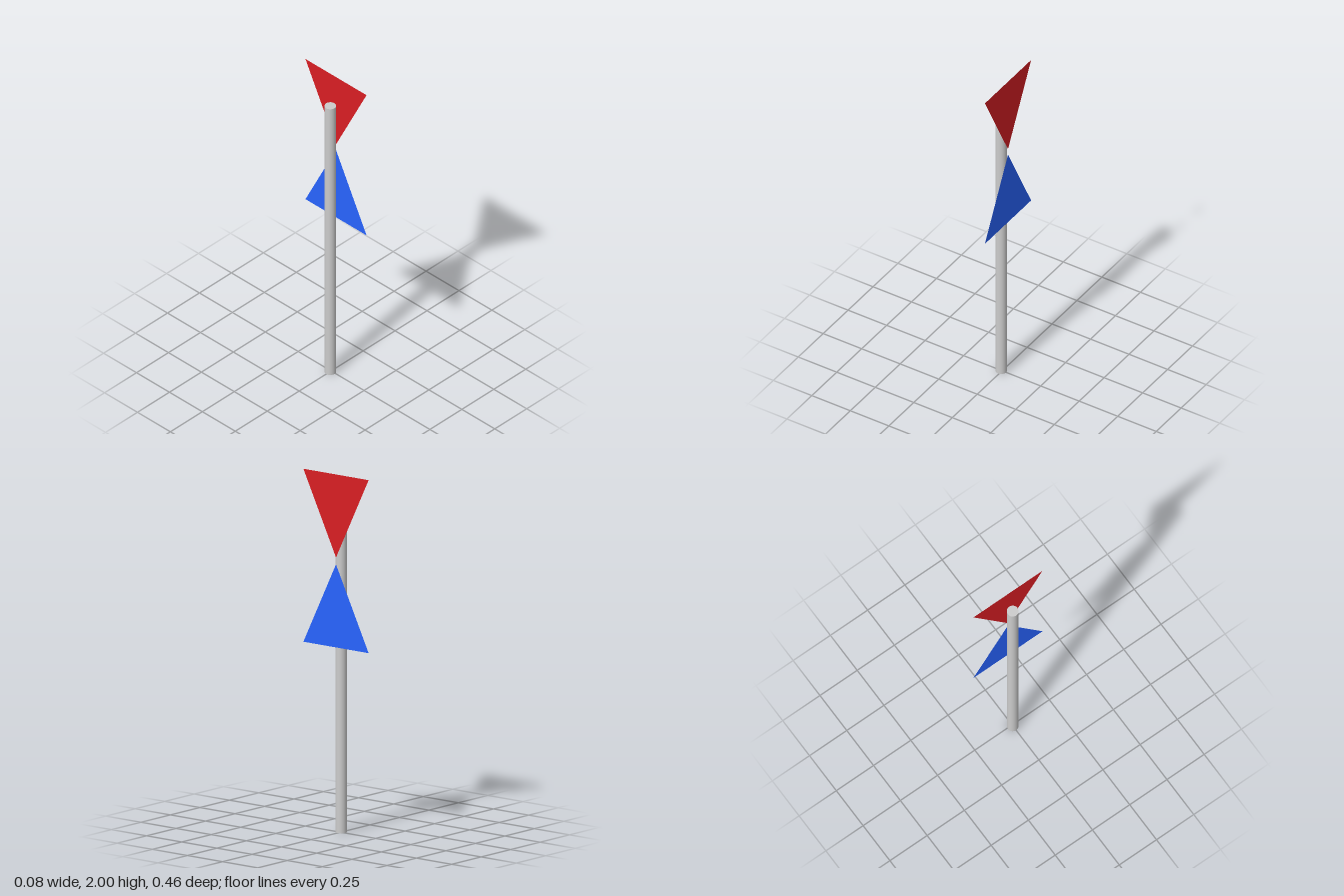
import * as THREE from 'three';

// Flat triangular sign facing +x, with its base and tip at the given heights
function triangleSign(name, color, baseY, tipY) {
  const half = 0.232;
  const shape = new THREE.Shape([
    new THREE.Vector2(-half, baseY),
    new THREE.Vector2(half, baseY),
    new THREE.Vector2(0, tipY),
  ]);
  const geometry = new THREE.ShapeGeometry(shape).rotateY(Math.PI / 2);
  const material = new THREE.MeshStandardMaterial({ color, side: THREE.DoubleSide });
  const mesh = new THREE.Mesh(geometry, material);
  mesh.name = name;
  mesh.position.x = 0.038;
  return mesh;
}

export function createModel() {
  const group = new THREE.Group();
  group.name = 'signPost';

  // Round post standing on the ground
  const height = 1.827;
  const post = new THREE.Mesh(
    new THREE.CylinderGeometry(0.032, 0.032, height, 32),
    new THREE.MeshStandardMaterial({ color: 0xcccccc })
  );
  post.name = 'post';
  post.position.set(-0.006, height / 2, 0);
  group.add(post);

  // Two signs mounted tip to tip
  group.add(triangleSign('upperSign', 0xd91e23, 2, 1.537));
  group.add(triangleSign('lowerSign', 0x2864ff, 1.036, 1.499));

  return group;
}
